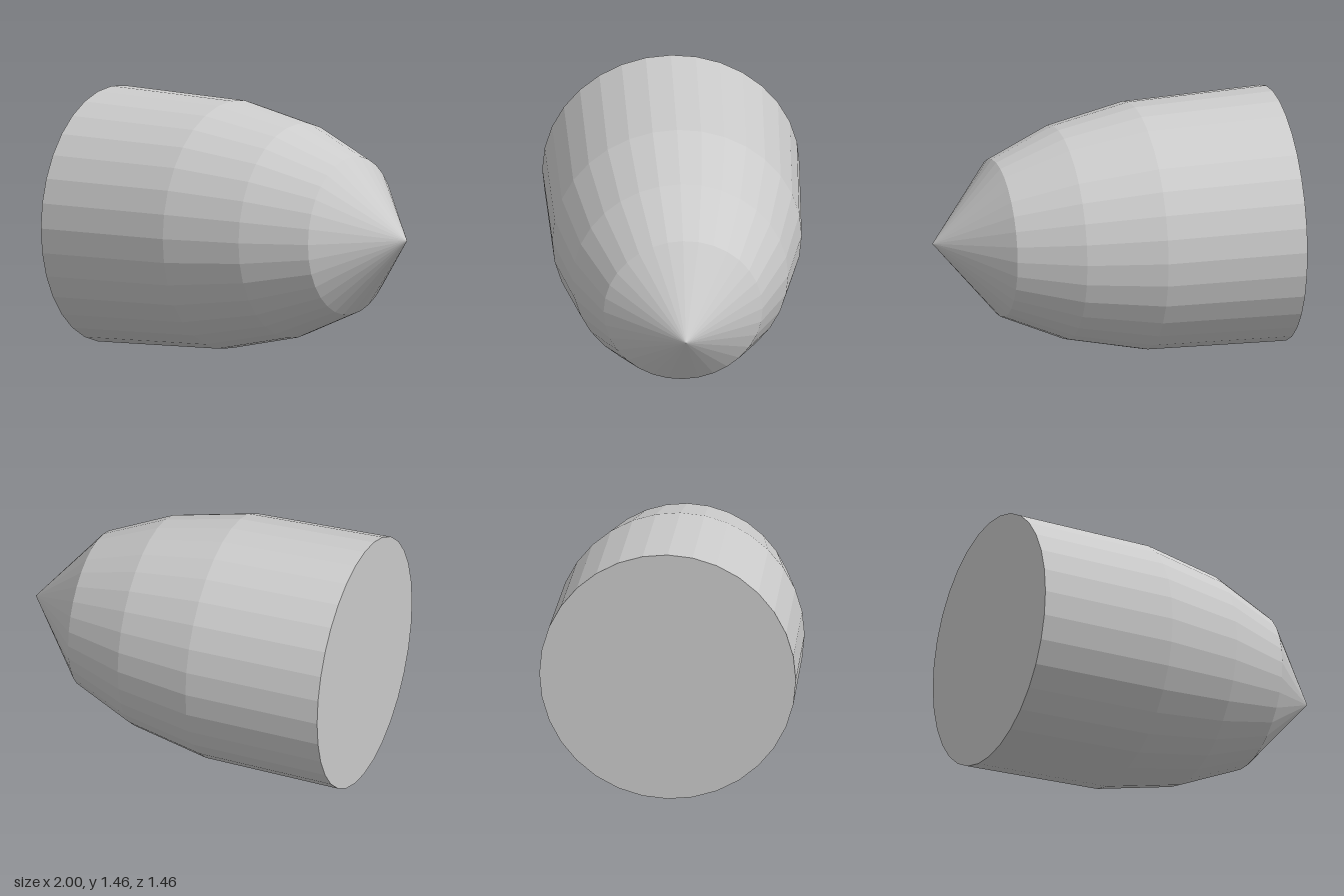
import * as THREE from 'three';

const SIDES = 32;
const BASE_RADIUS = 0.728;

export function createModel() {
  const model = new THREE.Group();
  model.name = 'pointedShell';
  const material = new THREE.MeshStandardMaterial({ color: 0xcccccc, flatShading: true });

  // Turns a profile of [radius, x] points around the long axis
  function addTurned(name, profile) {
    const points = profile.map(([radius, along]) => new THREE.Vector2(radius, along));
    const geometry = new THREE.LatheGeometry(points, SIDES);
    geometry.rotateZ(-Math.PI / 2);
    geometry.translate(0, BASE_RADIUS, 0);
    const mesh = new THREE.Mesh(geometry, material);
    mesh.name = name;
    model.add(mesh);
  }

  // Flat rear disc
  addTurned('base', [[0, -1], [BASE_RADIUS, -1]]);
  // Tapering faceted barrel
  addTurned('body', [[BASE_RADIUS, -1], [0.706, -0.19], [0.61, 0.26], [0.45, 0.625]]);
  // Sharp cone at the +x end
  addTurned('tip', [[0.45, 0.625], [0, 1]]);

  return model;
}
